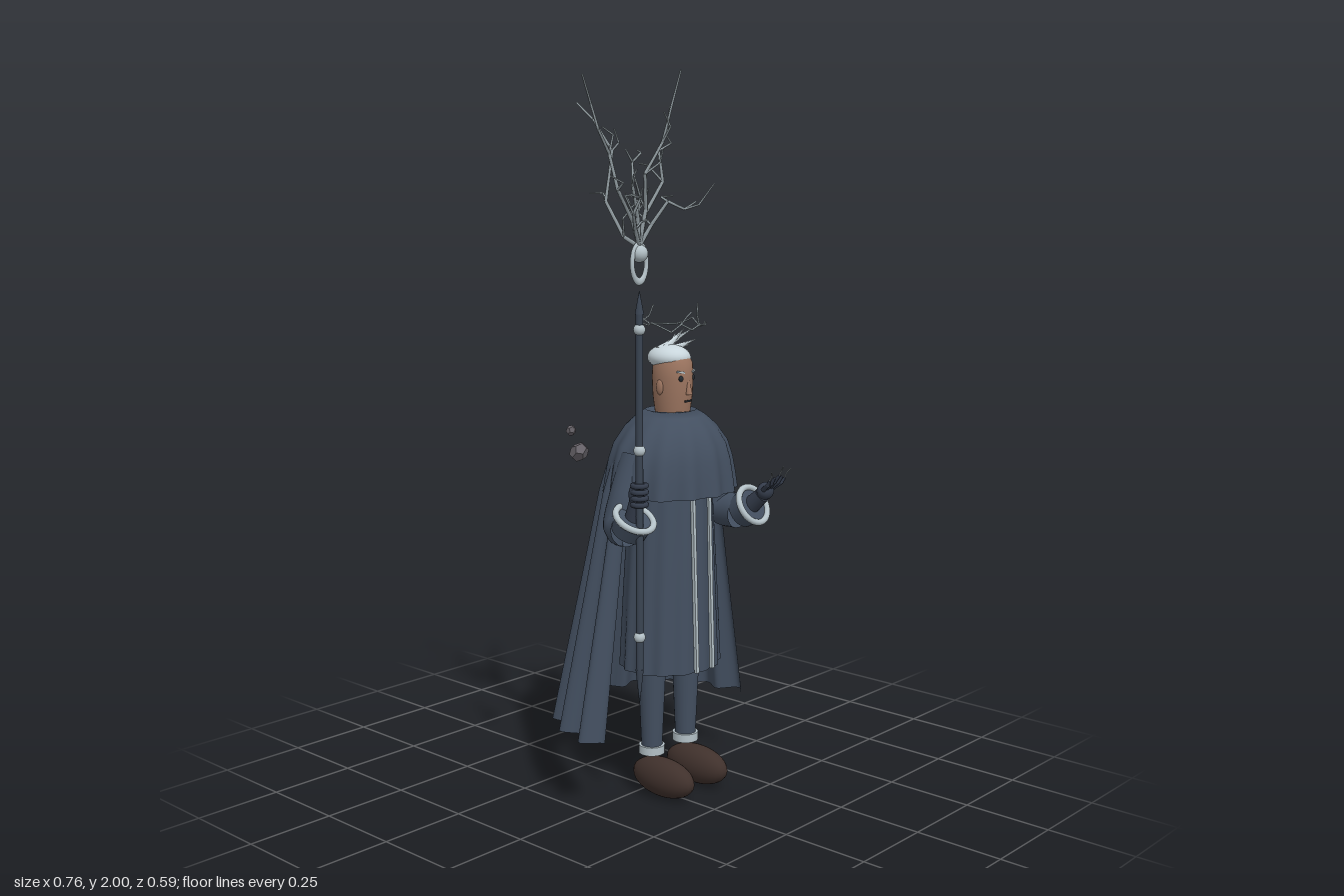
import * as THREE from 'three';
import { mergeGeometries, mergeVertices } from 'three/addons/utils/BufferGeometryUtils.js';

const V = (x, y, z) => new THREE.Vector3(x, y, z);
const UP = V(0, 1, 0);
const CX = 0.05, CZ = 0.04; // body axis

const material = (name, color, both) => {
  const m = new THREE.MeshStandardMaterial({ color });
  m.name = name;
  if (both) m.side = THREE.DoubleSide;
  return m;
};

// Tapered rod between two points
function rod(a, b, r0, r1 = r0, sides = 6) {
  const d = b.clone().sub(a);
  const g = new THREE.CylinderGeometry(r1, r0, d.length(), sides);
  g.applyQuaternion(new THREE.Quaternion().setFromUnitVectors(UP, d.normalize()));
  return g.translate((a.x + b.x) / 2, (a.y + b.y) / 2, (a.z + b.z) / 2);
}

function ball(x, y, z, rx, ry = rx, rz = rx) {
  return new THREE.SphereGeometry(1, 24, 16).scale(rx, ry, rz).translate(x, y, z);
}

// Rods joined end to end
function path(points, r, rEnd = r) {
  const n = points.length - 1;
  return points.slice(1).map((p, i) =>
    rod(points[i], p, r + (rEnd - r) * i / n, r + (rEnd - r) * (i + 1) / n, 5));
}

// Pleated cloth from rows of [y, rx, rz, fold depth]; angle 90 degrees is the back
function cloth(rows, a0, a1, folds, phase) {
  const seg = 200;
  const g = new THREE.PlaneGeometry(1, 1, seg, rows.length - 1);
  const p = g.attributes.position;
  rows.forEach(([y, rx, rz, amp], j) => {
    for (let i = 0; i <= seg; i++) {
      const a = a0 + (a1 - a0) * i / seg;
      const w = amp * Math.cos(folds * (a - phase));
      p.setXYZ(j * (seg + 1) + i, CX + (rx + w) * Math.cos(a), y, CZ - (rz + w) * Math.sin(a));
    }
  });
  g.deleteAttribute('uv');
  g.deleteAttribute('normal');
  const out = mergeVertices(g, 1e-5);
  out.computeVertexNormals();
  return out;
}

export function createModel() {
  const root = new THREE.Group();
  const navy = material('navy cloth', 0x434f60, true);
  const glove = material('dark glove', 0x343c4b);
  const silver = material('silver', 0xb4c1c7);
  const white = material('pale hair', 0xc8d5db);
  const skin = material('skin', 0x9c7560);
  const leather = material('brown leather', 0x40312c);
  const iron = material('staff iron', 0x3a4452);
  const spark = material('spark grey', 0x929da2);
  const stone = material('stone', 0x68646a);
  stone.flatShading = true;
  const black = material('dark features', 0x252a30);

  const add = (name, geo, mat) => {
    const list = Array.isArray(geo) ? geo.map(g => g.index ? g.toNonIndexed() : g) : null;
    const m = new THREE.Mesh(list ? mergeGeometries(list) : geo, mat);
    m.name = name;
    root.add(m);
    return m;
  };
  let seed = 7;
  const rand = () => (seed = (seed * 16807) % 2147483647) / 2147483647;
  const jit = s => (rand() - 0.5) * 2 * s;

  // Clothes
  const T = Math.PI * 2;
  add('shoulderCape', cloth([
    [1.07, 0.058, 0.058, 0], [1.1, 0.07, 0.07, 0], [1.085, 0.095, 0.095, 0], [1.055, 0.13, 0.125, 0.001],
    [1.01, 0.164, 0.15, 0.003], [0.965, 0.181, 0.16, 0.004], [0.92, 0.19, 0.166, 0.005], [0.875, 0.196, 0.17, 0.007],
  ], 0, T, 14, 0.2), navy);
  add('cape', cloth([
    [1.02, 0.135, 0.135, 0], [1.0, 0.15, 0.155, 0.001], [0.95, 0.176, 0.17, 0.004], [0.875, 0.198, 0.186, 0.008],
    [0.6, 0.243, 0.24, 0.014], [0.4, 0.277, 0.281, 0.018], [0.21, 0.309, 0.319, 0.022],
  ], -0.06, Math.PI + 0.06, 19, 0.05), navy);
  add('coat', cloth([
    [0.96, 0.1, 0.1, 0], [0.88, 0.118, 0.115, 0.001], [0.6, 0.14, 0.123, 0.002], [0.375, 0.152, 0.13, 0.004],
  ], 0, T, 14, 0.2), navy);
  for (const s of [-1, 1]) {
    const stripe = add('coatStripe', new THREE.BoxGeometry(0.011, 0.515, 0.009), silver);
    stripe.position.set(CX - 0.002 + s * 0.033, 0.633, 0.161);
    stripe.rotation.x = -0.035;
  }

  // Legs and shoes
  for (const x of [-0.022, 0.122]) {
    add('leg', rod(V(x, 0.13, 0.035), V(x, 0.45, 0.035), 0.029, 0.043, 20), navy);
    add('anklet', new THREE.CylinderGeometry(0.037, 0.037, 0.024, 24).translate(x, 0.134, 0.035), silver);
    add('shoe', ball(x, 0.059, 0.08, 0.046, 0.056, 0.109), leather);
  }

  // Head
  const profile = [[0.04, 1.05], [0.046, 1.1], [0.051, 1.14], [0.053, 1.19], [0.051, 1.23], [0.035, 1.262], [0, 1.274]];
  const head = new THREE.LatheGeometry(profile.map(p => new THREE.Vector2(...p)), 28);
  add('head', head.scale(1, 1, 1.14).translate(CX, 0, 0.046), skin);
  add('hairCap', ball(CX, 1.243, 0.033, 0.056, 0.035, 0.064), white);
  const tips = [[0.15, 1.315, 0.03], [0.12, 1.315, 0.025], [0.155, 1.285, 0.04], [0.135, 1.27, 0.033], [0.09, 1.305, 0.02], [0.12, 1.255, 0.045]];
  add('hairSpikes', tips.map((t, i) => rod(V(0.022 + i * 0.008, 1.262, 0.02 + (i % 3) * 0.012), V(...t), 0.013, 0.0008, 7)), white);
  for (const s of [-1, 1]) {
    add('ear', ball(CX + s * 0.052, 1.165, 0.045, 0.007, 0.021, 0.012), skin);
    add('eye', ball(CX + s * 0.024, 1.19, 0.098, 0.008, 0.008, 0.005), black);
    const brow = add('brow', new THREE.BoxGeometry(0.022, 0.005, 0.008), silver);
    brow.position.set(CX + s * 0.025, 1.208, 0.098);
    brow.rotation.set(0, s * 0.4, s * 0.15);
  }
  add('nose', rod(V(CX, 1.145, 0.106), V(CX, 1.195, 0.1), 0.01, 0.004, 10), skin);
  add('mouth', new THREE.BoxGeometry(0.024, 0.005, 0.006).translate(CX, 1.127, 0.102), black);

  // Crackling crown
  const crown = [];
  for (let i = 0; i < 20; i++) {
    const a = i / 20 * T, r = 0.085 + jit(0.008);
    crown.push(V(CX + r * Math.cos(a), 1.335 + jit(0.016), 0.05 + 1.05 * r * Math.sin(a)));
  }
  add('crownSparks', [
    ...path([...crown, crown[0]], 0.0026),
    ...path([crown[1], V(0.125, 1.355, 0.07), V(0.133, 1.39, 0.065)], 0.0026),
    ...path([crown[12], V(-0.012, 1.36, 0.015), V(0.0, 1.39, 0.02)], 0.0026),
    ...path([crown[7], V(0.01, 1.36, 0.13), V(0.02, 1.375, 0.14)], 0.0026),
  ], spark);

  // Sleeves, wide cuffs and hands
  function arm(side, points, cuff, normal) {
    const curve = new THREE.CatmullRomCurve3(points);
    const dir = normal.clone().normalize();
    add(side + 'Sleeve', new THREE.TubeGeometry(curve, 24, 0.05, 20), navy);
    const q = new THREE.Quaternion().setFromUnitVectors(V(0, 0, 1), dir);
    add(side + 'Cuff', new THREE.TorusGeometry(0.054, 0.009, 12, 32).applyQuaternion(q).translate(cuff.x, cuff.y, cuff.z), silver);
    const back = cuff.clone().addScaledVector(dir, -0.05);
    add(side + 'SleeveEnd', rod(back, cuff, 0.048, 0.054, 24), navy);
  }
  arm('left', [V(0.19, 0.99, 0.04), V(0.23, 0.88, 0.045), V(0.24, 0.8, 0.065), V(0.238, 0.795, 0.135)],
    V(0.237, 0.82, 0.185), V(0, 0.5, 0.86));
  arm('right', [V(-0.08, 0.98, 0.04), V(-0.12, 0.88, 0.035), V(-0.15, 0.8, 0.04), V(-0.163, 0.8, 0.075)],
    V(-0.162, 0.832, 0.1), V(-0.05, 0.82, 0.5));

  // Open left hand with sparking fingertips
  add('leftWrist', rod(V(0.237, 0.81, 0.17), V(0.239, 0.852, 0.215), 0.026, 0.022, 14), glove);
  add('leftPalm', ball(0.24, 0.865, 0.226, 0.028, 0.025, 0.022), glove);
  const fingerSparks = [];
  for (let i = 0; i < 5; i++) {
    const s = i - 2;
    const a = V(0.24 + s * 0.011, 0.872, 0.236), k = V(0.24 + s * 0.015, 0.895 - Math.abs(s) * 0.003, 0.258);
    const t = V(0.24 + s * 0.017, 0.915 - Math.abs(s) * 0.006, 0.275 - Math.abs(s) * 0.004);
    add('leftFinger', [rod(a, k, 0.007, 0.006, 8), rod(k, t, 0.006, 0.004, 8), ball(k.x, k.y, k.z, 0.0062)], glove);
    if (i % 2 === 0) fingerSparks.push(...path([t, V(t.x + 0.007, t.y + 0.015, t.z + 0.003), V(t.x + s * 0.005, t.y + 0.027, t.z + 0.014)], 0.0018));
  }
  add('fingerSparks', fingerSparks, spark);

  // Right fist around the staff
  const SX = -0.17, SZ = 0.125;
  add('rightWrist', rod(V(-0.162, 0.81, 0.09), V(-0.166, 0.88, 0.11), 0.026, 0.02, 14), glove);
  add('rightPalm', ball(-0.166, 0.9, 0.112, 0.025, 0.035, 0.02), glove);
  for (let i = 0; i < 4; i++) {
    add('rightFinger', new THREE.TorusGeometry(0.018, 0.0075, 8, 18).rotateX(Math.PI / 2).translate(SX, 0.875 + i * 0.017, SZ), glove);
  }

  // Staff
  add('staff', rod(V(SX, 0.42, SZ), V(SX, 1.38, SZ), 0.01, 0.01, 16), iron);
  add('staffTip', rod(V(SX, 1.38, SZ), V(SX, 1.44, SZ), 0.012, 0.001, 16), iron);
  add('staffFoot', rod(V(SX, 0.42, SZ), V(SX, 0.325, SZ), 0.011, 0.001, 16), iron);
  for (const y of [0.51, 1.02, 1.34]) add('staffBead', ball(SX, y, SZ, 0.016), silver);
  add('floatingRing', new THREE.TorusGeometry(0.027, 0.006, 10, 32).scale(1, 1.75, 1).translate(SX, 1.512, SZ), silver);
  add('floatingOrb', ball(SX, 1.537, SZ, 0.023), silver);

  // Branching bolts above the staff
  const bolts = [
    [[-0.2, 1.62, 0.13], [-0.265, 1.7, 0.14], [-0.275, 1.79, 0.12], [-0.325, 1.85, 0.13], [-0.34, 1.91, 0.12], [-0.38, 1.98, 0.13]],
    [[-0.15, 1.65, 0.13], [-0.175, 1.74, 0.15], [-0.13, 1.82, 0.17], [-0.115, 1.92, 0.19], [-0.1, 2.0, 0.205]],
    [[-0.14, 1.64, 0.12], [-0.085, 1.72, 0.13], [-0.09, 1.8, 0.12], [-0.045, 1.86, 0.11], [-0.012, 1.915, 0.09]],
    [[-0.19, 1.58, 0.09], [-0.2, 1.67, 0.035], [-0.17, 1.8, 0.03], [-0.19, 1.88, -0.02], [-0.18, 1.925, -0.09]],
    [[-0.2, 1.6, 0.14], [-0.24, 1.64, 0.17], [-0.235, 1.68, 0.19], [-0.285, 1.69, 0.2]],
    [[-0.14, 1.61, 0.14], [-0.11, 1.67, 0.17], [-0.08, 1.65, 0.2], [-0.05, 1.67, 0.215]],
    [[-0.18, 1.63, 0.13], [-0.21, 1.71, 0.14], [-0.19, 1.77, 0.12], [-0.225, 1.8, 0.13]],
  ];
  const parts = [];
  for (const b of bolts) {
    const pts = [V(SX, 1.555, SZ), ...b.map(p => V(...p))];
    parts.push(...path(pts, 0.0065, 0.0025));
    for (let i = 1; i < Math.min(4, pts.length - 1); i++) {
      const p = pts[i], m = V(p.x + jit(0.04), p.y + 0.03 + jit(0.02), p.z + jit(0.03));
      parts.push(...path([p, m, V(m.x + jit(0.04), m.y + 0.025 + jit(0.03), m.z + jit(0.03))], 0.0035, 0.002));
    }
  }
  add('staffBolts', parts, spark);

  // Floating stones
  for (const [x, y, z, r] of [[-0.25, 1.01, -0.02, 0.027], [-0.23, 1.06, -0.07, 0.014], [0.31, 0.98, -0.13, 0.015]]) {
    const rock = add('floatingStone', new THREE.DodecahedronGeometry(r), stone);
    rock.position.set(x, y, z);
    rock.rotation.set(r * 30, r * 70, 0);
    rock.scale.set(0.9, 1.1, 1);
  }
  return root;
}
